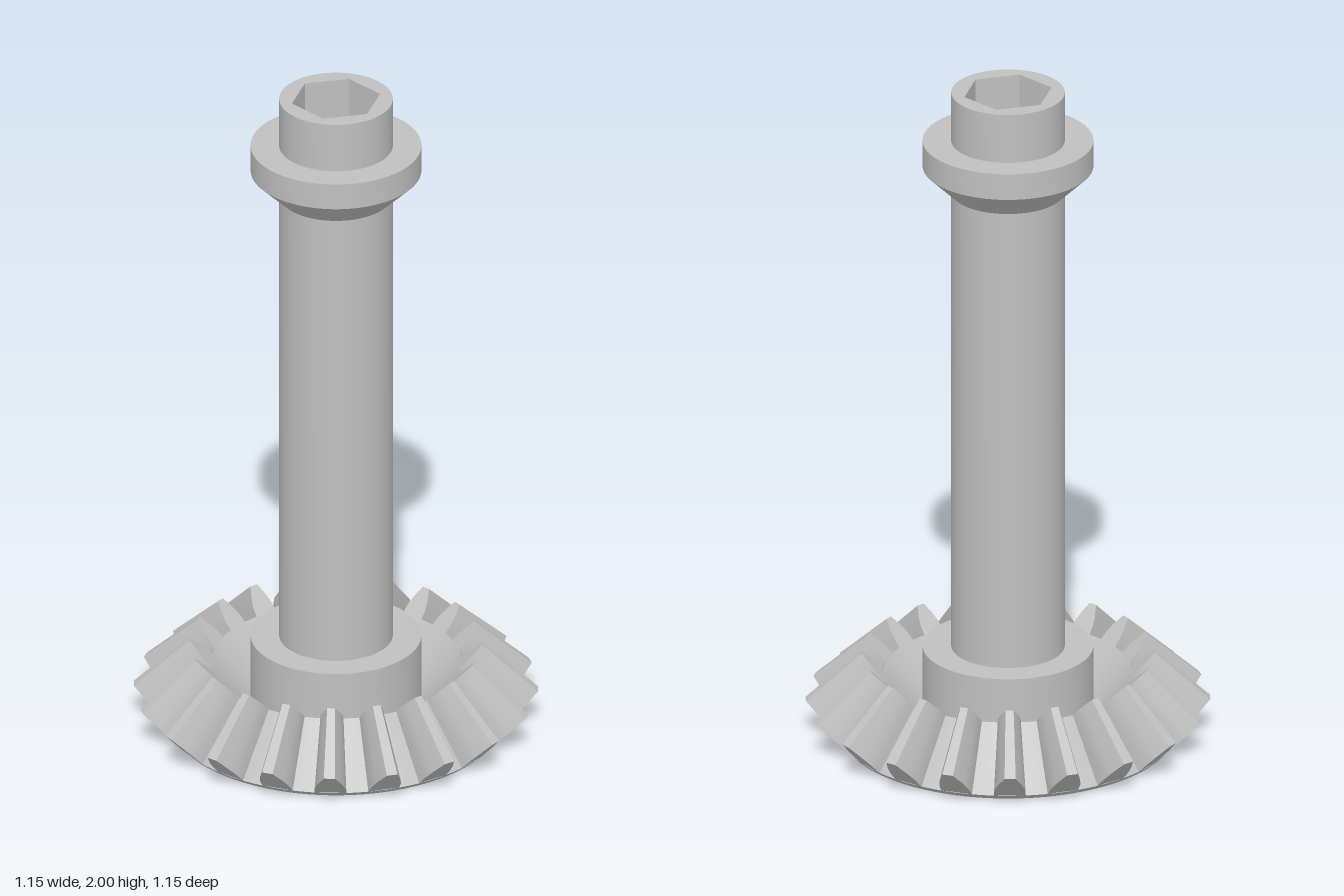
import * as THREE from 'three';
import { toCreasedNormals } from 'three/addons/utils/BufferGeometryUtils.js';

const TEETH = 20;
const APEX = 0.63;        // height where all tooth lines converge
const INNER = 0.724;      // inner tooth end, scaled about the apex
const ROOT = [0.495, 0.015], TIP = [0.58, 0.105];
const SHAFT_R = 0.163, BORE_R = 0.13, BASE_R = 0.48;

// One bevel tooth facing +z: a profile on the back cone, tapered to the apex
function toothGeometry() {
  const half = [[0, 0.046], [0.3, 0.044], [0.6, 0.035], [1, 0.016]]; // height, half width
  const profile = [...half, ...half.map(([t, w]) => [t, -w]).reverse()];
  const outer = profile.map(([t, w]) => {
    const r = ROOT[0] + t * (TIP[0] - ROOT[0]);
    const y = ROOT[1] + t * (TIP[1] - ROOT[1]);
    return new THREE.Vector3(r * Math.sin(w / r), y, r * Math.cos(w / r));
  });
  const inner = outer.map((p) => new THREE.Vector3(p.x * INNER, APEX + (p.y - APEX) * INNER, p.z * INNER));
  const points = [];
  for (let i = 0; i < outer.length - 1; i++) {
    const a = outer[i], b = inner[i], c = inner[i + 1], d = outer[i + 1];
    points.push(a, b, c, a, c, d);
    if (i > 0) points.push(outer[0], a, d, inner[0], c, b);
  }
  const geometry = new THREE.BufferGeometry().setFromPoints(points);
  return toCreasedNormals(geometry, 0.5);
}

// Flat ring with a hexagonal hole, facing up
function endFace(radius) {
  const shape = new THREE.Shape().absarc(0, 0, radius, 0, Math.PI * 2);
  const hex = [];
  for (let i = 0; i < 6; i++) {
    const a = Math.PI / 2 - (i * Math.PI) / 3;
    hex.push(new THREE.Vector2(BORE_R * Math.cos(a), BORE_R * Math.sin(a)));
  }
  shape.holes.push(new THREE.Path(hex));
  return new THREE.ShapeGeometry(shape, 96).rotateX(-Math.PI / 2);
}

function lathe(profile) {
  const points = profile.map(([x, y]) => new THREE.Vector2(x, y));
  return toCreasedNormals(new THREE.LatheGeometry(points, 96), 0.5);
}

export function createModel() {
  const model = new THREE.Group();
  const steel = new THREE.MeshStandardMaterial({ color: 0xc0c0c0 });
  steel.name = 'steel grey';
  const add = (name, geometry, parent = model) => {
    const mesh = new THREE.Mesh(geometry, steel);
    mesh.name = name;
    parent.add(mesh);
    return mesh;
  };

  // Gear blank: back cone, root cone, hollow bowl and hub
  const innerRoot = [ROOT[0] * INNER, APEX + (ROOT[1] - APEX) * INNER];
  add('gearBody', lathe([
    [BASE_R, 0], ROOT, innerRoot, [0.245, 0.07], [0.245, 0.27], [SHAFT_R, 0.27],
  ]));

  // Shaft with chamfered collar
  add('shaft', lathe([
    [SHAFT_R, 0.27], [SHAFT_R, 1.69], [0.245, 1.77], [0.245, 1.85], [SHAFT_R, 1.85], [SHAFT_R, 2],
  ]));

  // End faces around the hexagonal bore
  add('shaftTop', endFace(SHAFT_R)).position.y = 2;
  add('gearBottom', endFace(BASE_R).rotateX(Math.PI));

  // Bore wall, turned inward
  const bore = new THREE.CylinderGeometry(BORE_R, BORE_R, 2, 6, 1, true).scale(-1, 1, 1).toNonIndexed();
  bore.computeVertexNormals();
  add('hexBore', bore).position.y = 1;

  // Ring of teeth
  const teeth = new THREE.Group();
  teeth.name = 'teeth';
  model.add(teeth);
  const tooth = toothGeometry();
  for (let i = 0; i < TEETH; i++) {
    add('tooth', tooth, teeth).rotation.y = ((i + 0.5) * Math.PI * 2) / TEETH;
  }
  return model;
}
